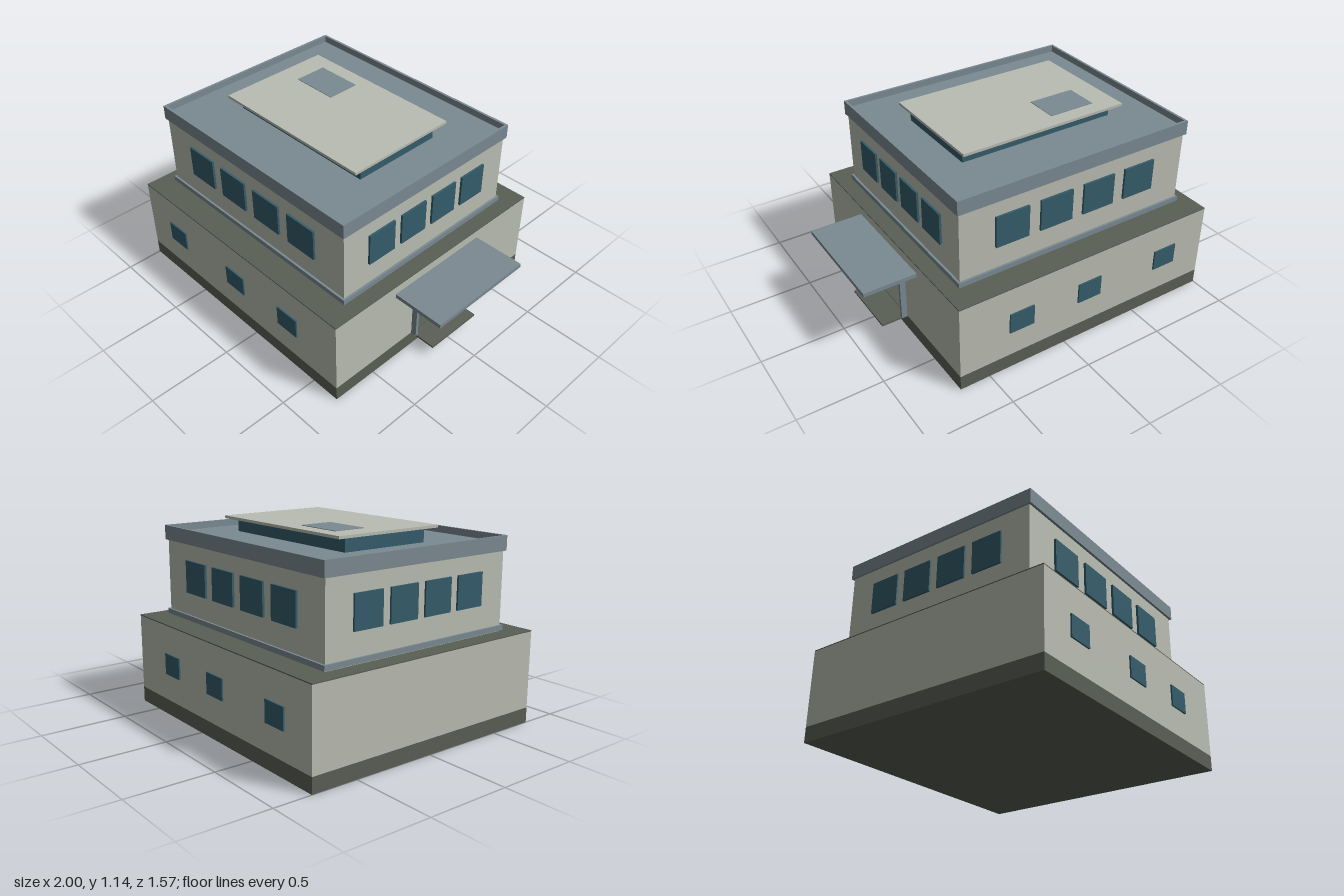
import * as THREE from 'three';

const material = (name, color) => {
  const m = new THREE.MeshStandardMaterial({ color });
  m.name = name;
  return m;
};

export function createModel() {
  const model = new THREE.Group();
  model.name = 'building';
  const wall = material('cream wall', 0xbabdb2);
  const olive = material('dark olive', 0x5a5f55);
  const metal = material('blue grey metal', 0x7b8a92);
  const glass = material('dark teal glass', 0x345c6b);
  const glow = material('cyan light', 0x2fbfc9);

  // Box given by its limits on each axis
  function box(name, mat, [x0, x1], [y0, y1], [z0, z1], parent = model) {
    const mesh = new THREE.Mesh(new THREE.BoxGeometry(x1 - x0, y1 - y0, z1 - z0), mat);
    mesh.position.set((x0 + x1) / 2, (y0 + y1) / 2, (z0 + z1) / 2);
    mesh.name = name;
    parent.add(mesh);
    return mesh;
  }

  // Lower storey: hollow, with an open doorway in the left (+x) wall
  const X = [-1, 0.684], Z = [-0.777, 0.777], t = 0.03;
  const wallY = [0.09, 0.54], inX = [X[0] + t, X[1] - t];
  box('plinth', olive, X, [0, 0.09], Z);
  const lower = new THREE.Group();
  lower.name = 'lowerWalls';
  model.add(lower);
  box('frontWall', wall, X, wallY, [Z[1] - t, Z[1]], lower);
  box('backWall', wall, X, wallY, [Z[0], Z[0] + t], lower);
  box('sideWall', wall, [X[0], inX[0]], wallY, [Z[0] + t, Z[1] - t], lower);
  const doorX = [inX[1], X[1]];
  box('entranceWall', wall, doorX, wallY, [0.178, Z[1] - t], lower);
  box('entranceWall', wall, doorX, wallY, [Z[0] + t, -0.178], lower);
  box('entranceHeader', wall, doorX, [0.442, 0.54], [-0.178, 0.178], lower);
  box('terraceRoof', olive, X, [0.54, 0.546], Z);

  // Upper storey, trim band and roof
  box('upperWalls', wall, [-0.9, 0.584], [0.546, 1.02], [-0.622, 0.622]);
  box('trimBand', metal, [-0.911, 0.597], [0.552, 0.582], [-0.635, 0.635]);
  box('roofDeck', metal, [-0.905, 0.59], [1.002, 1.045], [-0.63, 0.63]);

  // Parapet ring
  const ring = new THREE.Shape([[-0.911, -0.636], [0.597, -0.636], [0.597, 0.636], [-0.911, 0.636]]
    .map(p => new THREE.Vector2(...p)));
  ring.holes.push(new THREE.Path([[-0.896, -0.621], [-0.896, 0.621], [0.582, 0.621], [0.582, -0.621]]
    .map(p => new THREE.Vector2(...p))));
  const parapet = new THREE.Mesh(
    new THREE.ExtrudeGeometry(ring, { depth: 0.085, bevelEnabled: false }), metal);
  parapet.name = 'parapet';
  parapet.rotation.x = -Math.PI / 2;
  parapet.position.y = 1;
  model.add(parapet);

  // Raised clerestory with its slab and hatch
  box('clerestory', glass, [-0.63, 0.35], [1.045, 1.124], [-0.28, 0.28]);
  box('clerestorySlab', wall, [-0.667, 0.385], [1.124, 1.14], [-0.35, 0.348]);
  box('slabLight', glow, [-0.48, 0.19], [1.118, 1.126], [0.28, 0.29]);
  box('roofHatch', metal, [-0.525, -0.24], [1.14, 1.143], [-0.26, -0.06]);

  // Windows, mirrored front to back and side to side
  for (const s of [-1, 1]) {
    const zSpan = (a, b) => (s > 0 ? [a, b] : [-b, -a]);
    for (const x of [-0.708, -0.157, 0.298])
      box('lowerWindow', glass, [x - 0.078, x + 0.078], [0.25, 0.375], zSpan(0.777, 0.786));
    for (let i = 0; i < 4; i++) {
      const x = -0.582 + i * 0.282, z = -0.357 + i * 0.238;
      box('upperWindow', glass, [x - 0.104, x + 0.104], [0.716, 0.905], zSpan(0.622, 0.635));
      box('sideWindow', glass, s > 0 ? [0.584, 0.597] : [-0.911, -0.9],
        [0.716, 0.905], [z - 0.093, z + 0.093]);
    }
  }

  // Entrance: frame, lights, step and canopy
  const entrance = new THREE.Group();
  entrance.name = 'entrance';
  model.add(entrance);
  for (const z of [[0.175, 0.193], [-0.193, -0.175]])
    box('doorPost', metal, [0.684, 0.719], [0.086, 0.451], z, entrance);
  box('doorLintel', metal, [0.684, 0.719], [0.442, 0.451], [-0.175, 0.175], entrance);
  box('doorLight', glow, [0.69, 0.717], [0.435, 0.442], [-0.168, 0.168], entrance);
  box('doorStep', olive, [0.684, 0.84], [0.074, 0.086], [-0.182, 0.182], entrance);
  box('canopy', metal, [0.684, 1], [0.466, 0.49], [-0.337, 0.337], entrance);
  box('canopyLight', glow, [0.7, 0.977], [0.458, 0.466], [-0.308, 0.308], entrance);

  return model;
}
